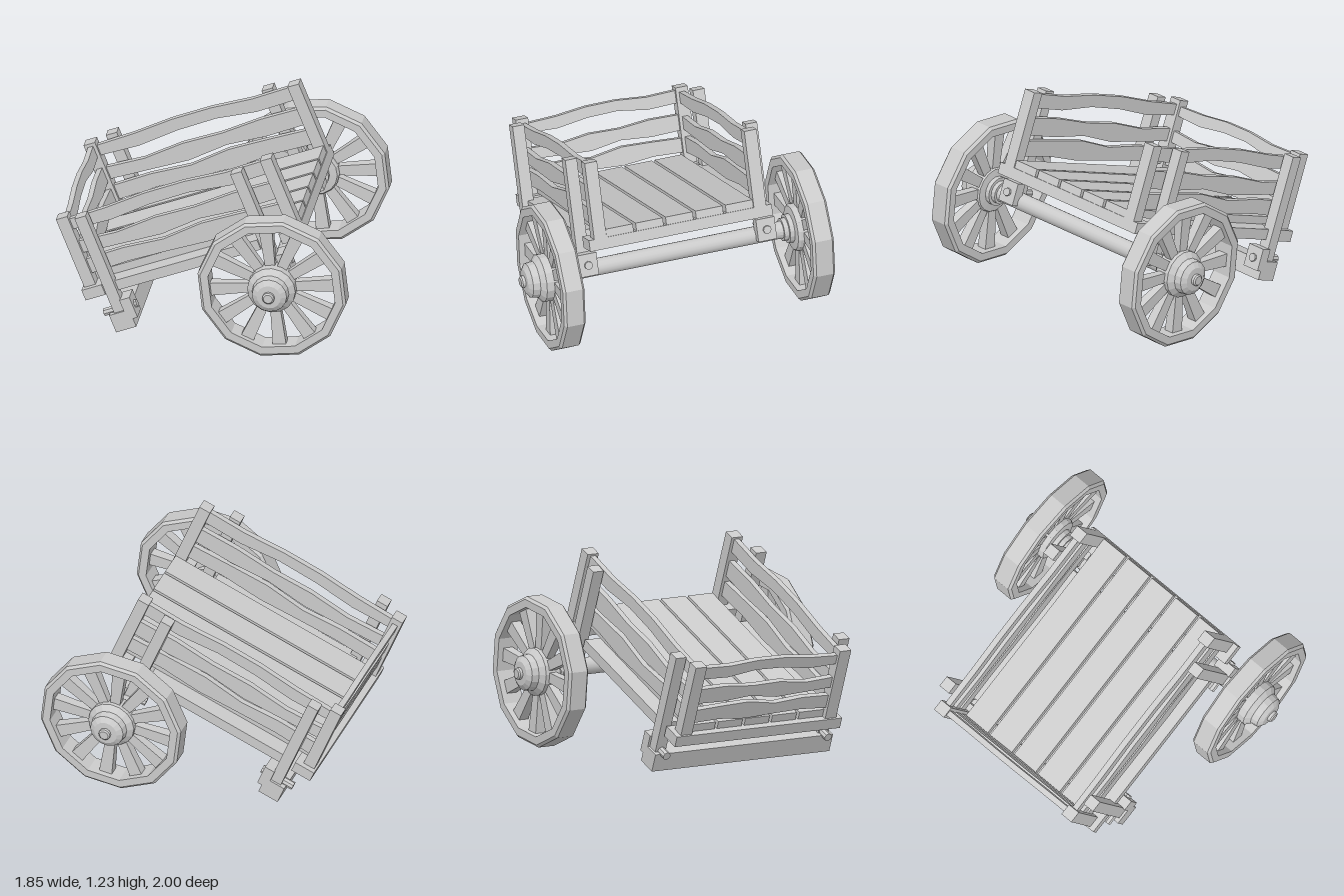
import * as THREE from 'three';

const TILT = 0.375; // the bed slopes up towards +x
const grey = new THREE.MeshStandardMaterial({ color: 0xcccccc, flatShading: true });
const smooth = new THREE.MeshStandardMaterial({ color: 0xcccccc });

function add(parent, name, geometry, material = grey) {
  const mesh = new THREE.Mesh(geometry, material);
  mesh.name = name;
  parent.add(mesh);
  return mesh;
}

// Box given by its extents along each axis
function box(parent, name, [x0, x1], [y0, y1], [z0, z1]) {
  const g = new THREE.BoxGeometry(x1 - x0, y1 - y0, z1 - z0);
  g.translate((x0 + x1) / 2, (y0 + y1) / 2, (z0 + z1) / 2);
  return add(parent, name, g);
}

// Same box on both sides of the cart
function boxPair(parent, name, xs, ys, [z0, z1]) {
  box(parent, name, xs, ys, [z0, z1]);
  box(parent, name, xs, ys, [-z1, -z0]);
}

// Rough-hewn board: offsets push the top and bottom edges in or out
function roughBoard(length, v0, v1, thickness, top, bottom) {
  const at = (i, n) => (i / (n - 1) - 0.5) * length;
  const pts = [
    ...bottom.map((d, i) => new THREE.Vector2(at(i, bottom.length), v0 + d)),
    ...top.map((d, i) => new THREE.Vector2(at(i, top.length), v1 + d)).reverse(),
  ];
  const g = new THREE.ExtrudeGeometry(new THREE.Shape(pts), { depth: thickness, bevelEnabled: false });
  return g.translate(0, 0, -thickness / 2);
}

// Lathe whose axis points along +z
function latheZ(points, sides) {
  const g = new THREE.LatheGeometry(points.map(([r, h]) => new THREE.Vector2(r, h)), sides);
  return g.rotateX(Math.PI / 2);
}

function makeWheel(center) {
  const wheel = new THREE.Group();
  wheel.name = 'wheel';
  const h = 0.07;

  // Twelve-sided rim with a small bevel on the tread
  const rim = [[0.4, -h], [0.45, -h], [0.467, -h + 0.015], [0.467, h - 0.015], [0.45, h], [0.4, h], [0.4, -h]];
  add(wheel, 'rim', latheZ(rim, 12)).position.z = center;

  // Spokes widen towards the rim
  for (let i = 0; i < 12; i++) {
    const g = new THREE.CylinderGeometry(0.06, 0.042, 0.31, 4, 1, false, Math.PI / 4);
    g.scale(1, 1, 0.8).translate(0, 0.255, 0);
    const spoke = add(wheel, 'spoke', g);
    spoke.position.z = center;
    spoke.rotation.z = Math.PI / 12 + i * Math.PI / 6;
  }

  // Hub with inner collars, outer flange and axle end
  const hub = [[0.052, 0.64], [0.056, 0.7], [0.072, 0.7], [0.072, 0.73], [0.092, 0.73], [0.092, 0.76],
    [0.14, 0.765], [0.15, 0.78], [0.15, 0.875], [0.115, 0.905], [0.108, 0.95], [0.075, 0.972],
    [0.037, 0.974], [0.037, 0.992], [0.028, 1], [0, 1]];
  add(wheel, 'hub', latheZ(hub, 16));
  return wheel;
}

export function createModel() {
  const model = new THREE.Group();
  model.name = 'cart';
  const cart = new THREE.Group();
  cart.name = 'tiltedBody';
  cart.rotation.z = TILT;
  model.add(cart);

  // Floor planks on a solid under-panel
  for (let i = 0; i < 5; i++) {
    const z = (i - 2) * 0.195;
    box(cart, 'floorPlank', [-0.57, 0.835], [0.517, 0.567], [z - 0.088, z + 0.088]);
  }
  box(cart, 'underPanel', [-0.44, 0.56], [0.45, 0.517], [-0.588, 0.588]);

  // Cross beams at both ends and the low ground beam
  box(cart, 'endBeam', [-0.613, -0.48], [0.446, 0.517], [-0.595, 0.595]);
  box(cart, 'endBeam', [0.705, 0.84], [0.446, 0.517], [-0.595, 0.595]);
  box(cart, 'groundBeam', [-0.496, -0.361], [0.205, 0.325], [-0.64, 0.64]);

  // Inner corner posts
  boxPair(cart, 'cornerPost', [-0.6, -0.525], [0.517, 1], [0.48, 0.56]);
  boxPair(cart, 'cornerPost', [0.765, 0.84], [0.517, 1.003], [0.48, 0.56]);

  // Outer posts with clamp blocks and bolts
  for (const u of [-0.465, 0.577]) {
    boxPair(cart, 'outerPost', [u, u + 0.073], [0.3, 0.997], [0.55, 0.625]);
    boxPair(cart, 'clampBlock', [u + 0.068, u + 0.135], [0.262, 0.403], [0.52, 0.64]);
    for (const z of [-0.582, 0.582]) {
      const g = new THREE.CylinderGeometry(0.026, 0.026, 0.22, 8).rotateZ(Math.PI / 2);
      add(cart, 'bolt', g).position.set(u + 0.04, 0.332, z);
    }
  }

  // Uneven side boards and the matching gate at the low end
  const boards = [
    [0.9, 0.99, [-0.02, -0.012, 0.01, 0.012, -0.006, 0], [0, -0.008, 0.02, 0.025, -0.006, 0]],
    [0.72, 0.815, [0, -0.014, 0.012, 0.006, 0.024, 0.02], [0.012, 0, -0.012, 0.018, 0, 0.005]],
    [0.585, 0.685, [0, 0.006, -0.012, 0.02, 0.012, 0], [0, 0.012, 0.004, -0.008, 0.01, 0]],
  ];
  for (const [v0, v1, top, bottom] of boards) {
    for (const z of [-0.518, 0.518]) {
      add(cart, 'sideBoard', roughBoard(1.32, v0, v1, 0.036, top, bottom)).position.set(0.12, 0, z);
    }
    const gate = add(cart, 'gateBoard', roughBoard(0.98, v0, v1 - 0.01, 0.036, top, bottom));
    gate.rotation.y = Math.PI / 2;
    gate.position.x = -0.563;
  }

  // Axle and the two wheels
  const axle = new THREE.Group();
  axle.name = 'wheelAxle';
  axle.position.set(0.616, 0.2865, 0);
  cart.add(axle);
  add(axle, 'axleShaft', new THREE.CylinderGeometry(0.054, 0.054, 1.4, 16).rotateX(Math.PI / 2), smooth);
  axle.add(makeWheel(0.8));
  const backWheel = makeWheel(0.825);
  backWheel.rotation.y = Math.PI;
  axle.add(backWheel);

  return model;
}
